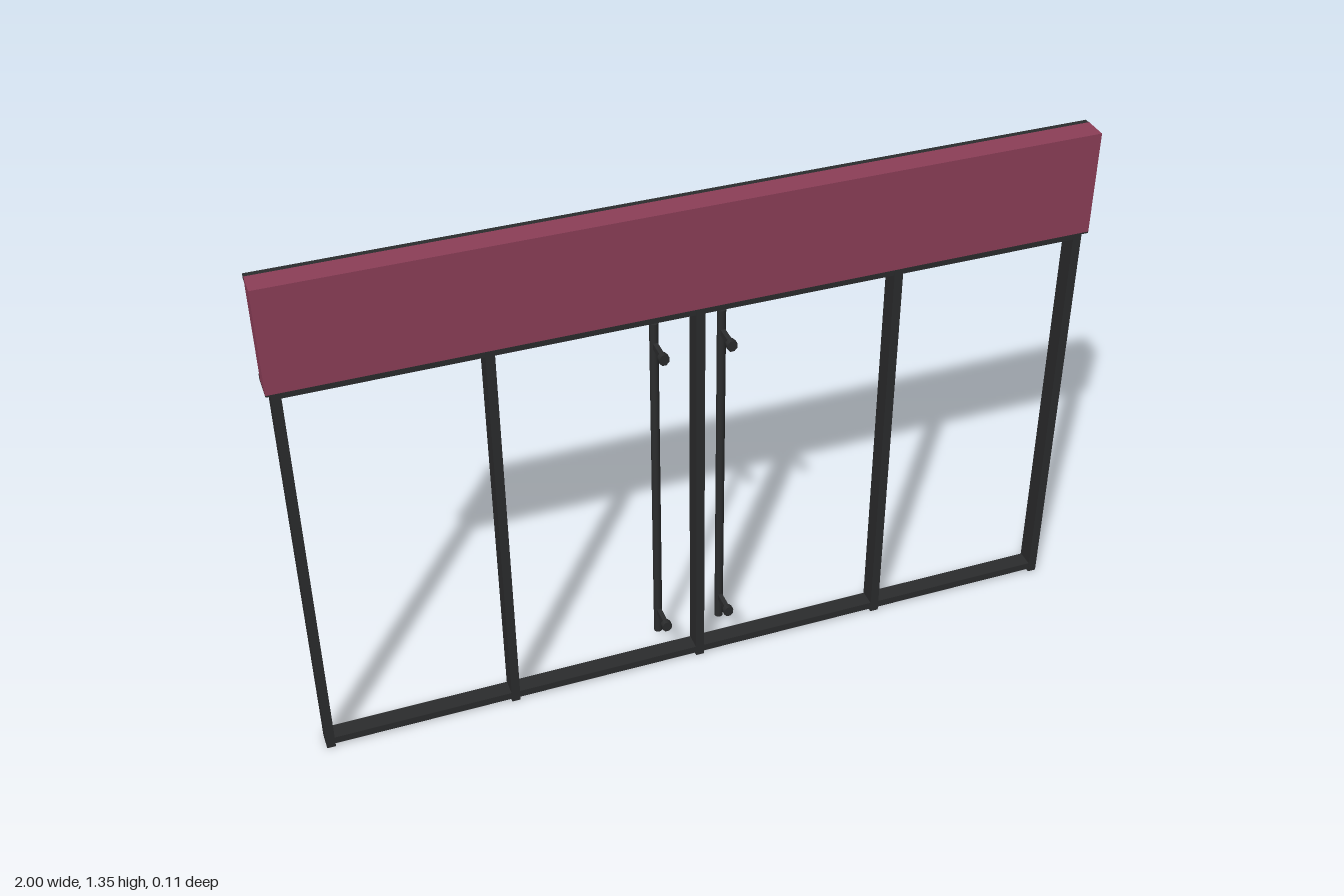
import * as THREE from 'three';

export function createModel() {
  const model = new THREE.Group();
  const burgundy = new THREE.MeshStandardMaterial({ color: 0x8c3f58 });
  burgundy.name = 'burgundy panel';
  const charcoal = new THREE.MeshStandardMaterial({ color: 0x2b2c2d });
  charcoal.name = 'charcoal metal';

  // Box given by its limits on each axis
  function box(name, mat, [x0, x1], [y0, y1], [z0, z1], parent = model) {
    const mesh = new THREE.Mesh(new THREE.BoxGeometry(x1 - x0, y1 - y0, z1 - z0), mat);
    mesh.position.set((x0 + x1) / 2, (y0 + y1) / 2, (z0 + z1) / 2);
    mesh.name = name;
    parent.add(mesh);
    return mesh;
  }

  // Sign header: front case, recessed back panel, dark trim on the back
  const header = new THREE.Group();
  header.name = 'header';
  model.add(header);
  box('headerCase', burgundy, [-1, 1], [1.084, 1.35], [-0.006, 0.055], header);
  box('headerBackPanel', burgundy, [-0.998, 0.998], [1.094, 1.338], [-0.014, -0.006], header);
  box('headerBasePlate', charcoal, [-1, 1], [1.08, 1.084], [-0.006, 0.055], header);
  box('headerTopTrim', charcoal, [-1, 1], [1.336, 1.349], [-0.021, -0.006], header);
  box('headerBottomTrim', charcoal, [-1, 1], [1.08, 1.094], [-0.021, -0.006], header);
  box('headerMullion', charcoal, [-0.011, 0.011], [1.094, 1.336], [-0.021, -0.014], header);

  // Storefront frame: five posts between two rails
  const frame = new THREE.Group();
  frame.name = 'frame';
  model.add(frame);
  for (const x of [-0.977, -0.5, 0, 0.5, 0.977]) {
    box('post', charcoal, [x - 0.011, x + 0.011], [0, 1.08], [-0.002, 0.046], frame);
  }
  box('topRail', charcoal, [-0.977, 0.977], [1.062, 1.08], [0, 0.044], frame);
  box('bottomRail', charcoal, [-0.977, 0.977], [0.008, 0.028], [0, 0.044], frame);

  // Long pull handles on either side of the centre post
  for (const side of [-1, 1]) {
    const handle = new THREE.Group();
    handle.name = side > 0 ? 'leftHandle' : 'rightHandle';
    handle.position.set(side * 0.085, 0, -0.043);
    model.add(handle);

    const bar = new THREE.Mesh(new THREE.CylinderGeometry(0.011, 0.011, 0.965, 16), charcoal);
    bar.position.y = 0.5225;
    bar.name = 'handleBar';
    handle.add(bar);

    for (const y of [0.11, 0.945]) {
      // Standoff reaching forward to a wider fixing flange
      box('standoff', charcoal, [-0.006, 0.006], [y - 0.008, y + 0.008], [0, 0.06], handle);
      const flange = new THREE.Mesh(new THREE.CylinderGeometry(0.0135, 0.0135, 0.014, 8), charcoal);
      flange.geometry.rotateY(Math.PI / 8).rotateX(Math.PI / 2).scale(1, 1.15, 1);
      flange.position.set(0, y, 0.067);
      flange.name = 'flange';
      handle.add(flange);
    }
  }
  return model;
}
